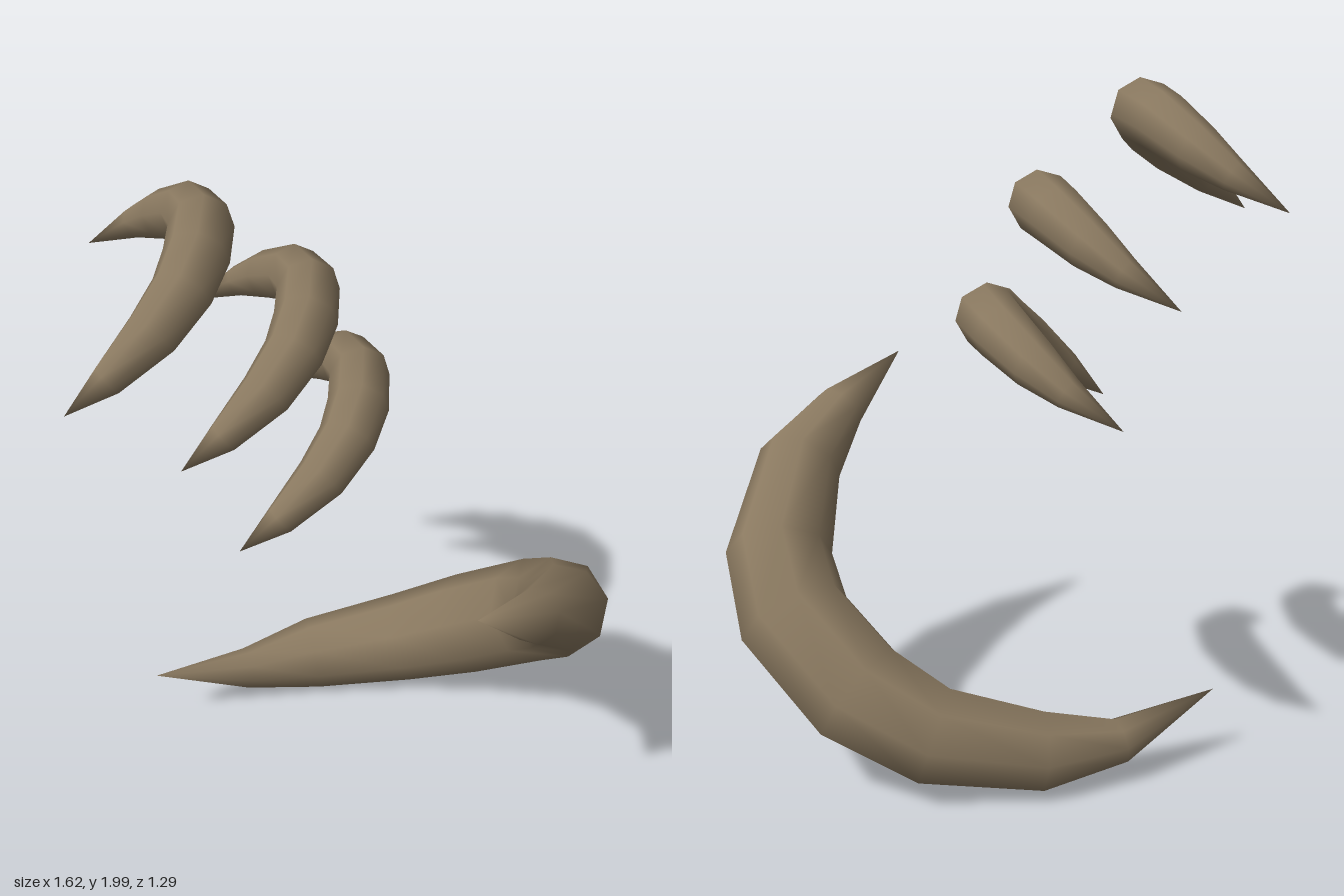
import * as THREE from 'three';

const SIDES = 8;

// Curved horn: round sections [x, y, z, radius] swept between two pointed tips.
function hornGeometry(sections) {
  const centres = sections.map(([x, y, z]) => new THREE.Vector3(x, y, z));
  const last = centres.length - 1;

  // Average normal of the plane the curve lies in
  const normal = new THREE.Vector3();
  centres.forEach((c, i) => normal.add(c.clone().cross(centres[(i + 1) % centres.length])));
  normal.normalize();

  const positions = [...centres[0].toArray()];
  for (let i = 1; i < last; i++) {
    const before = centres[i].clone().sub(centres[i - 1]).normalize();
    const after = centres[i + 1].clone().sub(centres[i]).normalize();
    const tangent = before.add(after).normalize();
    const side = normal.clone().cross(tangent).normalize();
    const up = tangent.clone().cross(side);
    for (let j = 0; j < SIDES; j++) {
      const a = (j / SIDES) * Math.PI * 2;
      const r = sections[i][3];
      const p = centres[i].clone()
        .addScaledVector(side, Math.cos(a) * r)
        .addScaledVector(up, Math.sin(a) * r);
      positions.push(p.x, p.y, p.z);
    }
  }
  positions.push(...centres[last].toArray());

  const at = (ring, j) => 1 + (ring - 1) * SIDES + (j % SIDES);
  const end = 1 + (last - 1) * SIDES;
  const index = [];
  for (let j = 0; j < SIDES; j++) {
    index.push(0, at(1, j + 1), at(1, j));
    for (let i = 1; i < last - 1; i++) {
      index.push(at(i, j), at(i, j + 1), at(i + 1, j + 1));
      index.push(at(i, j), at(i + 1, j + 1), at(i + 1, j));
    }
    index.push(at(last - 1, j), at(last - 1, j + 1), end);
  }

  const geometry = new THREE.BufferGeometry();
  geometry.setAttribute('position', new THREE.Float32BufferAttribute(positions, 3));
  geometry.setIndex(index);
  geometry.computeVertexNormals();
  return geometry;
}

export function createModel() {
  const group = new THREE.Group();
  group.name = 'clawSet';
  const horn = new THREE.MeshStandardMaterial({ name: 'brown horn', color: 0x8a7960 });

  // Large lower claw
  const largeClaw = new THREE.Mesh(hornGeometry([
    [0.14, 1.06, 0.65, 0],
    [0.37, 0.92, 0.53, 0.08],
    [0.535, 0.80, 0.385, 0.13],
    [0.655, 0.60, 0.155, 0.158],
    [0.65, 0.46, -0.02, 0.168],
    [0.51, 0.29, -0.22, 0.168],
    [0.325, 0.185, -0.345, 0.15],
    [0.03, 0.13, -0.43, 0.12],
    [-0.21, 0.125, -0.435, 0.068],
    [-0.53, 0.22, -0.39, 0],
  ]), horn);
  largeClaw.name = 'largeClaw';
  group.add(largeClaw);

  // Three equal small claws stepping down to the side
  const smallGeometry = hornGeometry([
    [-0.81, 1.57, 0.085, 0],
    [-0.69, 1.665, 0.1, 0.047],
    [-0.56, 1.765, 0.08, 0.075],
    [-0.46, 1.84, 0.02, 0.085],
    [-0.395, 1.89, -0.065, 0.09],
    [-0.345, 1.915, -0.19, 0.09],
    [-0.345, 1.90, -0.315, 0.084],
    [-0.39, 1.84, -0.45, 0.07],
    [-0.45, 1.78, -0.55, 0.045],
    [-0.57, 1.69, -0.645, 0],
  ]);
  [[0, 0], [0.3, -0.24], [0.455, -0.55]].forEach(([x, y], i) => {
    const claw = new THREE.Mesh(smallGeometry, horn);
    claw.name = ['upperClaw', 'middleClaw', 'lowerClaw'][i];
    claw.position.set(x, y, 0);
    group.add(claw);
  });

  return group;
}
